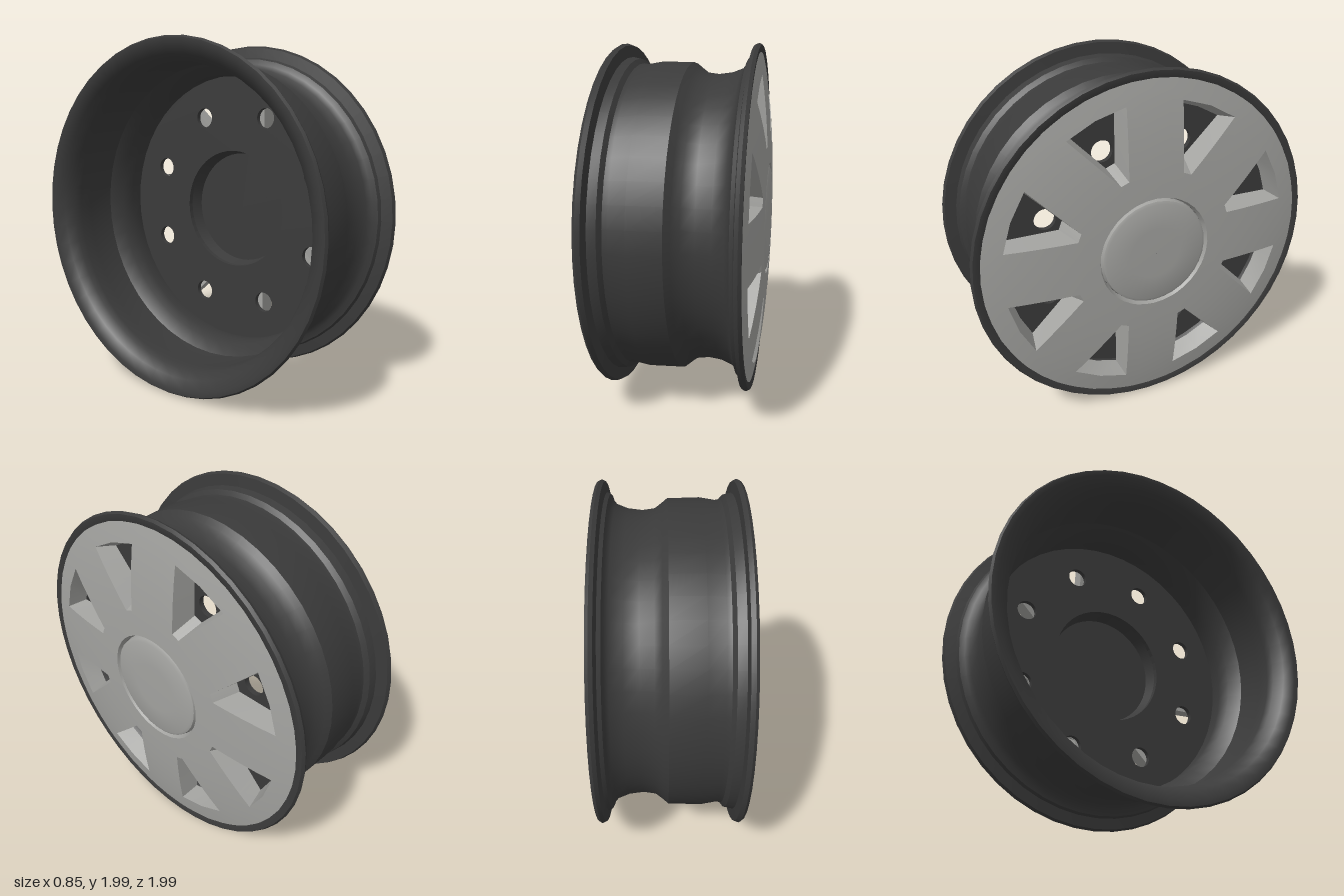
import * as THREE from 'three';
import { toCreasedNormals } from 'three/addons/utils/BufferGeometryUtils.js';

const SPOKES = 8;
const STEP = (Math.PI * 2) / SPOKES;
const HOLE_IN = 0.47, HOLE_OUT = 0.84;

const darkSteel = new THREE.MeshStandardMaterial({ color: 0x3a3a3a, side: THREE.DoubleSide });
const silver = new THREE.MeshStandardMaterial({ color: 0xa2a29f, side: THREE.DoubleSide });
darkSteel.name = 'dark steel';
silver.name = 'silver cover';

// Revolve [radius, x] points around the wheel axle (x)
function revolve(name, points, material, segments = 48) {
  const geo = new THREE.LatheGeometry(points.map(([r, x]) => new THREE.Vector2(r, x)), segments);
  geo.rotateZ(-Math.PI / 2);
  const mesh = new THREE.Mesh(toCreasedNormals(geo, 0.6), material);
  mesh.name = name;
  return mesh;
}

// Shallow dome of the cover
const domeX = (r) => 0.42 - 0.065 * Math.pow(r / 0.955, 3);

// Half angle of a window at radius r, between spokes of constant half width
const halfAngle = (r, width) => STEP / 2 - Math.asin(width / r);

const polar = (r, a, x = domeX(r)) => [x, r * Math.cos(a), r * Math.sin(a)];

function buildCover() {
  const pos = [];
  const quad = (a, b, c, d) => pos.push(...a, ...b, ...c, ...a, ...c, ...d);
  const radii = [0.325, 0.4, HOLE_IN, 0.56, 0.65, 0.75, HOLE_OUT, 0.9, 0.957];
  const edge = (r) => halfAngle(THREE.MathUtils.clamp(r, HOLE_IN, HOLE_OUT), 0.157);

  for (let s = 0; s < SPOKES; s++) {
    const mid = (s + 0.5) * STEP;
    // Angles across one sector: spoke, window, spoke
    const columns = (r) => {
      const h = edge(r), e = STEP / 2;
      return [-e, -(e + h) / 2, -h, 0, h, (e + h) / 2, e].map((a) => mid + a);
    };
    for (let i = 0; i < radii.length - 1; i++) {
      const r0 = radii[i], r1 = radii[i + 1];
      const c0 = columns(r0), c1 = columns(r1);
      for (let j = 0; j < 6; j++) {
        const open = r0 >= HOLE_IN && r1 <= HOLE_OUT && (j === 2 || j === 3);
        if (!open) quad(polar(r0, c0[j]), polar(r1, c1[j]), polar(r1, c1[j + 1]), polar(r0, c0[j + 1]));
      }
    }
    // Groove edge around the centre cap
    const c = columns(radii[0]);
    for (let j = 0; j < 6; j++) {
      quad(polar(0.312, c[j], 0.385), polar(0.325, c[j]), polar(0.325, c[j + 1]), polar(0.312, c[j + 1], 0.385));
    }
    // Sloping walls leading into the window
    const rows = radii.slice(2, 7);
    const loop = [
      ...rows.map((r) => [r, -1]), [HOLE_OUT, 0],
      ...rows.slice().reverse().map((r) => [r, 1]), [HOLE_IN, 0],
    ];
    const top = loop.map(([r, k]) => polar(r, mid + k * edge(r)));
    const low = loop.map(([r, k]) => {
      const q = THREE.MathUtils.mapLinear(r, HOLE_IN, HOLE_OUT, 0.53, 0.805);
      return polar(q, mid + k * halfAngle(q, 0.178), 0.27);
    });
    loop.forEach((_, i) => {
      const n = (i + 1) % loop.length;
      quad(top[i], top[n], low[n], low[i]);
    });
  }
  const geo = new THREE.BufferGeometry();
  geo.setAttribute('position', new THREE.Float32BufferAttribute(pos, 3));
  const mesh = new THREE.Mesh(toCreasedNormals(geo, 0.5), silver);
  mesh.name = 'spokedCover';
  return mesh;
}

// Inner mounting disc with a ring of round vents
function buildDisc() {
  const shape = new THREE.Shape().absarc(0, 0, 0.82, 0, Math.PI * 2);
  const ring = (x, y, r) => shape.holes.push(new THREE.Path().absarc(x, y, r, 0, Math.PI * 2, true));
  ring(0, 0, 0.36);
  for (let i = 0; i < SPOKES; i++) {
    const a = (i + 0.5) * STEP;
    ring(0.605 * Math.cos(a), 0.605 * Math.sin(a), 0.06);
  }
  const geo = new THREE.ExtrudeGeometry(shape, { depth: 0.03, bevelEnabled: false, curveSegments: 24 });
  geo.rotateY(Math.PI / 2);
  geo.translate(0.2, 0, 0);
  const mesh = new THREE.Mesh(geo, darkSteel);
  mesh.name = 'mountingDisc';
  return mesh;
}

export function createModel() {
  const wheel = new THREE.Group();
  wheel.name = 'wheel';

  // Barrel with both flanges: outside from back to front, then the inside back again
  const rim = revolve('rim', [
    [0.955, -0.425], [0.985, -0.425], [0.995, -0.41], [0.985, -0.387], [0.92, -0.38],
    [0.91, -0.335], [0.885, -0.315], [0.88, -0.29], [0.895, -0.2], [0.89, -0.02],
    [0.865, 0.01], [0.835, 0.05], [0.825, 0.12], [0.835, 0.2], [0.86, 0.265],
    [0.885, 0.285], [0.915, 0.295], [0.925, 0.315], [0.985, 0.325], [0.995, 0.345],
    [0.985, 0.362], [0.953, 0.36], [0.91, 0.335], [0.87, 0.295], [0.84, 0.265],
    [0.815, 0.2], [0.805, 0.12], [0.815, 0.04], [0.87, -0.03], [0.875, -0.2],
    [0.86, -0.29], [0.87, -0.33], [0.9, -0.39], [0.955, -0.425],
  ], darkSteel);

  // Recessed hub behind the cover
  const hub = revolve('hub', [[0.37, 0.2], [0.34, 0.3], [0.001, 0.3]], darkSteel);

  // Centre cap
  const cap = revolve('centreCap', [[0.312, 0.38], [0.305, 0.412], [0.29, 0.419], [0.15, 0.422], [0.001, 0.423]], silver, 32);

  wheel.add(rim, buildDisc(), hub, buildCover(), cap);
  wheel.position.y = 1;

  const model = new THREE.Group();
  model.name = 'model';
  model.add(wheel);
  return model;
}
